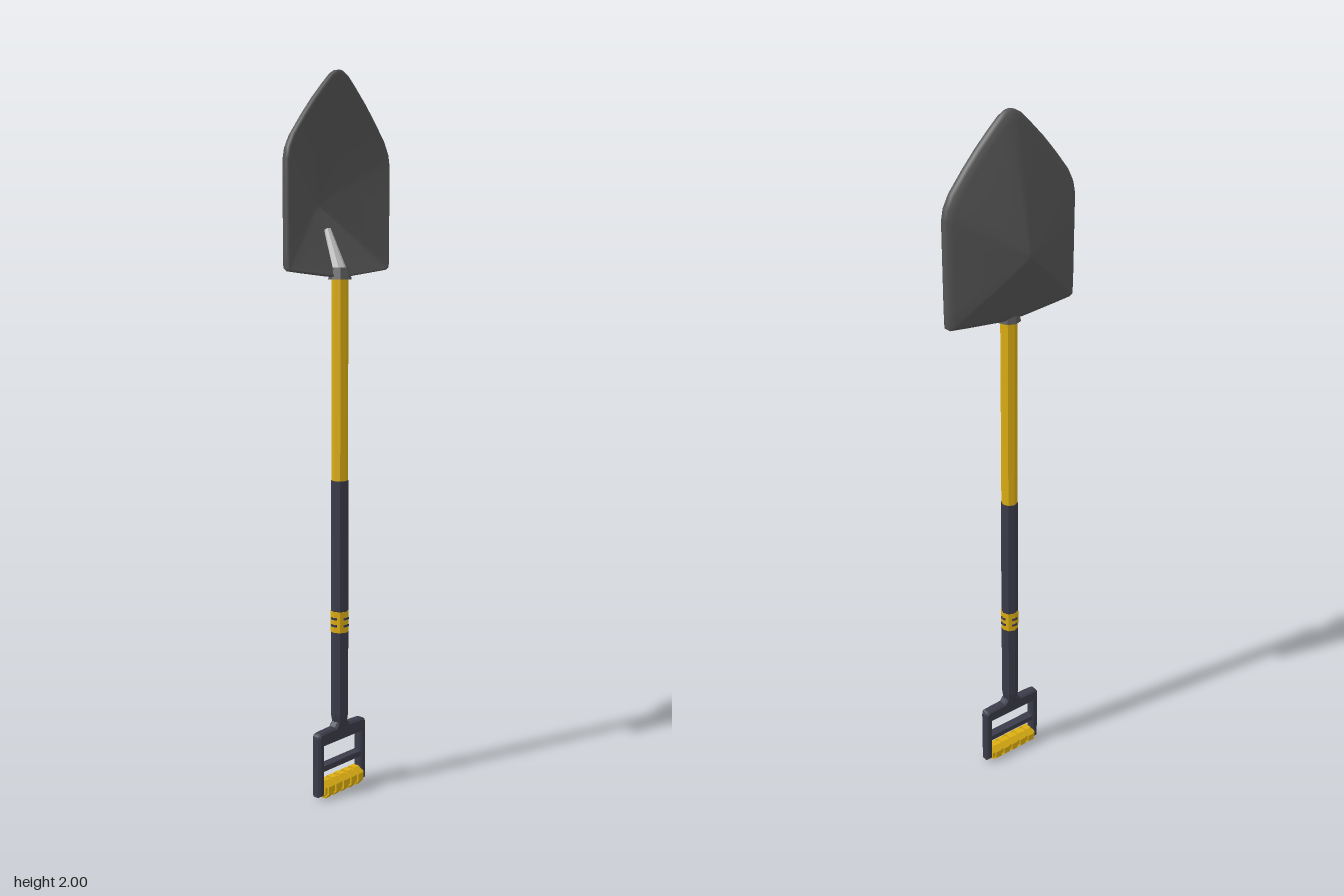
import * as THREE from 'three';

const mat = (name, color, opts = {}) => {
  const m = new THREE.MeshStandardMaterial({ color, ...opts });
  m.name = name;
  return m;
};

// Dished blade: rings of the outline scaled towards the deepest point
function bladeGeometry() {
  const half = [[0, 1.455], [0.05, 1.459], [0.1, 1.464], [0.15, 1.469], [0.195, 1.474], [0.204, 1.48],
    [0.205, 1.53], [0.205, 1.6], [0.205, 1.68], [0.205, 1.76], [0.199, 1.79], [0.182, 1.823],
    [0.14, 1.875], [0.1, 1.92], [0.06, 1.96], [0.03, 1.988], [0.012, 1.998], [0, 2]];
  const outline = [...half, ...half.slice(1, -1).reverse().map(([x, y]) => [-x, y])];
  // [scale, z] from the front centre, round the rim, to the back centre
  const section = [[0, -0.05], [0.06, -0.048], [0.13, -0.042], [0.5, -0.011], [0.9, 0.024], [0.97, 0.032], [0.99, 0.033],
    [1, 0.028], [1, 0.017], [0.98, 0.01], [0.92, 0.002], [0.5, -0.031], [0.13, -0.056], [0.06, -0.061], [0, -0.063]];
  const n = outline.length, pos = [], idx = [], cy = 1.65;
  for (const [s, z] of section.slice(1, -1))
    for (const [x, y] of outline) pos.push(x * s, cy + (y - cy) * s, z);
  const rings = section.length - 2;
  const front = rings * n, back = front + 1;
  pos.push(0, cy, section[0][1], 0, cy, section.at(-1)[1]);
  for (let i = 0; i < n; i++) {
    const j = (i + 1) % n, last = (rings - 1) * n;
    idx.push(front, i, j, back, last + j, last + i);
    for (let r = 0; r < rings - 1; r++) {
      const a = r * n + i, b = r * n + j;
      idx.push(a, a + n, b, b, a + n, b + n);
    }
  }
  const g = new THREE.BufferGeometry();
  g.setAttribute('position', new THREE.Float32BufferAttribute(pos, 3));
  g.setIndex(idx);
  g.computeVertexNormals();
  return g;
}

export function createModel() {
  const group = new THREE.Group();
  const steel = mat('dark steel', 0x555555);
  const bright = mat('bright steel', 0xc4c4c4, { flatShading: true });
  const collarMat = mat('collar steel', 0x5a5a5c, { flatShading: true });
  const yellow = mat('yellow', 0xdcae12, { flatShading: true });
  const dark = mat('dark grip', 0x3b3b4a, { flatShading: true });
  const Z = 0.029;

  const add = (name, geo, material, x = 0, y = 0, z = Z) => {
    const m = new THREE.Mesh(geo, material);
    m.name = name;
    m.position.set(x, y, z);
    group.add(m);
    return m;
  };
  // Upright eight-sided rod between two heights
  const rod = (name, material, y0, y1, r0, r1 = r0) =>
    add(name, new THREE.CylinderGeometry(r1, r0, y1 - y0, 8), material, 0, (y0 + y1) / 2);

  add('blade', bladeGeometry(), steel, 0, 0, 0);

  // Socket joining blade and shaft
  rod('collar', collarMat, 1.45, 1.482, 0.032, 0.025);
  const from = new THREE.Vector3(0, 1.465, 0.028), to = new THREE.Vector3(0, 1.585, -0.016);
  const dir = to.clone().sub(from);
  const socket = add('socket', new THREE.CylinderGeometry(0.009, 0.023, dir.length(), 8), bright);
  socket.position.copy(from).add(to).multiplyScalar(0.5);
  socket.quaternion.setFromUnitVectors(new THREE.Vector3(0, 1, 0), dir.normalize());

  // Shaft
  rod('upperShaft', yellow, 0.9, 1.455, 0.023);
  rod('lowerShaft', dark, 0.23, 0.9, 0.0245);
  rod('shaftNeck', dark, 0.185, 0.23, 0.018, 0.0245);

  // Yellow band with plain dark marks
  rod('shaftBand', yellow, 0.47, 0.53, 0.0255);
  for (let i = 0; i < 4; i++) {
    const a = (i * Math.PI) / 2;
    for (const dy of [-0.01, 0.01]) {
      const mark = add('bandMark', new THREE.BoxGeometry(0.018, 0.006, 0.006), dark,
        Math.sin(a) * 0.0235, 0.5 + dy, Z + Math.cos(a) * 0.0235);
      mark.rotation.y = a;
    }
  }

  // Handle frame with one window
  const s = new THREE.Shape();
  s.moveTo(-0.1, 0.01);
  s.lineTo(0.1, 0.01);
  s.lineTo(0.1, 0.18);
  s.quadraticCurveTo(0.099, 0.194, 0.085, 0.195);
  s.lineTo(0.03, 0.197);
  s.lineTo(0.02, 0.21);
  s.lineTo(-0.02, 0.21);
  s.lineTo(-0.03, 0.197);
  s.lineTo(-0.085, 0.195);
  s.quadraticCurveTo(-0.099, 0.194, -0.1, 0.18);
  const hole = new THREE.Path();
  hole.moveTo(-0.077, 0.03);
  hole.lineTo(-0.077, 0.155);
  hole.lineTo(0.077, 0.155);
  hole.lineTo(0.077, 0.03);
  s.holes.push(hole);
  const frame = new THREE.ExtrudeGeometry(s, {
    depth: 0.018, bevelEnabled: true, bevelThickness: 0.006, bevelSize: 0.005, bevelOffset: -0.005,
    bevelSegments: 1, curveSegments: 4,
  });
  add('handleFrame', frame, dark, 0, 0, Z - 0.009);
  add('crossbar', new THREE.BoxGeometry(0.16, 0.016, 0.026), dark, 0, 0.09);

  // Ribbed hand grip
  const bar = (name, len, r, x) => {
    const m = add(name, new THREE.CylinderGeometry(r, r, len, 8), yellow, x, 0.027);
    m.rotation.set(Math.PI / 8, 0, Math.PI / 2);
  };
  bar('grip', 0.165, 0.0225, 0);
  for (let i = -2; i <= 2; i++) bar('gripRib', 0.02, 0.0285, i * 0.0315);
  return group;
}
